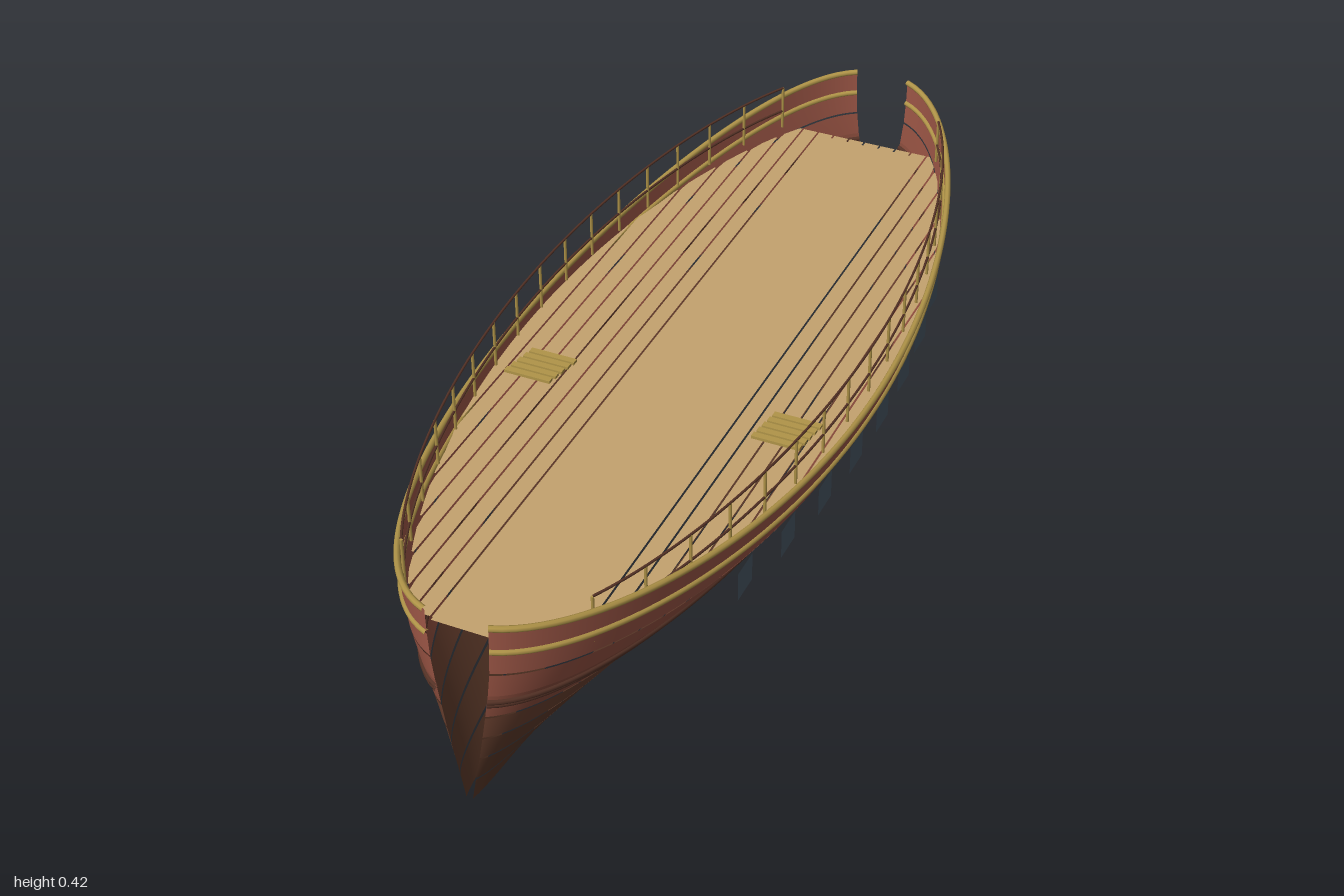
import * as THREE from 'three';
import { ParametricGeometry } from 'three/addons/geometries/ParametricGeometry.js';

const mat = (color, side = THREE.FrontSide) => new THREE.MeshStandardMaterial({ color, side });
const GOLD = mat(0xb09448), WALE = mat(0x553226);
const DECK = mat(0xc4a26e, THREE.DoubleSide), IRON = mat(0x4a5866, THREE.DoubleSide);
const STRAKES = [0x5a3828, 0x5a3828, 0x5e3a2a, 0x6a402f, 0x8a4c3c, 0x965242, 0x9c5646, 0x9c5646]
  .map(c => mat(c, THREE.DoubleSide));
const DECK_Y = 0.302;

// Half-breadths of the midship section, evenly spaced from keel to sheer
const BREADTH = [0.04, 0.097, 0.158, 0.213, 0.263, 0.313, 0.35, 0.367, 0.373];

function breadth(u) {
  const f = Math.min(u, 1) * 8, i = Math.min(7, Math.floor(f));
  return THREE.MathUtils.lerp(BREADTH[i], BREADTH[i + 1], f - i);
}
// Plan taper towards the ends, and the sheer line
const taper = z => Math.pow(Math.cos(z * Math.PI / 2 * 0.989), 0.45);
const sheer = z => 0.323 + 0.094 * z * z;
const hullPoint = (u, z, side, out = 0) =>
  new THREE.Vector3(side * (breadth(u) + out) * taper(z), u * sheer(z), z);

function add(parent, name, geometry, material) {
  const mesh = new THREE.Mesh(geometry, material);
  mesh.name = name;
  parent.add(mesh);
  return mesh;
}

// Tube through a function of z, with samples closer together at the ends
function tubeAlong(fn, zMax, radius) {
  const points = [];
  for (let i = 0; i <= 48; i++) points.push(fn(zMax * Math.sin((i / 48 - 0.5) * Math.PI)));
  return new THREE.TubeGeometry(new THREE.CatmullRomCurve3(points), 96, radius, 8);
}

function strake(u0, u1, side) {
  return new ParametricGeometry((s, t, target) => {
    const z = Math.sin((s - 0.5) * Math.PI);
    target.copy(hullPoint(u0 + (u1 - u0) * t, z, side));
  }, 72, 4);
}

// Flat plank whose outer edge is trimmed to the inside of the hull
function plank(inner, outer, side) {
  const inside = z => breadth(DECK_Y / sheer(z)) * taper(z) - 0.003;
  let reach = 0.9;
  while (inside(reach) < inner + 0.002) reach -= 0.005;
  return new ParametricGeometry((s, t, target) => {
    const z = (2 * s - 1) * reach;
    const edge = Math.min(outer, inside(z));
    target.set(side * (inner + (edge - inner) * t), DECK_Y, z);
  }, 48, 1);
}

function buildSide(side) {
  const g = new THREE.Group();
  g.name = side > 0 ? 'leftSide' : 'rightSide';

  // Hull strakes with open seams between them (the wale covers one seam)
  for (let i = 0; i < 8; i++) {
    const u0 = i === 0 || i === 5 ? i / 8 : i / 8 + 0.005;
    const u1 = i === 7 || i === 4 ? (i + 1) / 8 : (i + 1) / 8 - 0.005;
    add(g, 'hullStrake', strake(u0, u1, side), STRAKES[i]);
  }

  // Cap rail, moulding and wale
  add(g, 'capRail', tubeAlong(z => hullPoint(1, z, side), 1, 0.0062), GOLD);
  add(g, 'moulding', tubeAlong(z => hullPoint(0.875, z, side), 1, 0.0058), GOLD);
  for (const u of [0.575, 0.592])
    add(g, 'wale', tubeAlong(z => hullPoint(u, z, side, 0.002), 1, 0.0055), WALE);

  // Gun port lids
  for (let i = 0; i < 8; i++) {
    const z = -0.5 + i / 7;
    const lid = add(g, 'gunPortLid', new THREE.PlaneGeometry(0.066, 0.062), IRON);
    lid.rotation.y = side * Math.PI / 2;
    lid.position.set(side * 0.36 * taper(z), 0.225, z);
  }

  // Railing: posts and two level rails
  const railX = z => side * 0.353 * taper(z);
  for (let i = 0; i <= 16; i++) {
    const z = -0.86 + i * 0.1075;
    const post = add(g, 'railingPost', new THREE.CylinderGeometry(0.003, 0.003, 0.1, 6), GOLD);
    post.position.set(railX(z), 0.37, z);
  }
  for (const y of [0.362, 0.42])
    add(g, 'railingBar', tubeAlong(z => new THREE.Vector3(railX(z), y, z), 0.86, 0.0025), WALE);

  // Main deck planks
  for (let i = 0; i < 10; i++)
    add(g, 'deckPlank', plank(i * 0.037 + 0.002, i * 0.037 + 0.035, side), DECK);

  // Steps
  for (let i = 0; i < 5; i++) {
    const step = add(g, 'step', new THREE.BoxGeometry(0.098, 0.006, 0.014), GOLD);
    step.position.set(side * 0.26, DECK_Y + 0.01 + i * 0.006, 0.135 + i * 0.026);
  }
  return g;
}

export function createModel() {
  const model = new THREE.Group();
  model.name = 'shipHull';
  model.add(buildSide(1), buildSide(-1));

  // Backing sheet under the middle planks
  const sheet = add(model, 'deckBacking', new THREE.PlaneGeometry(0.224, 1.8), DECK);
  sheet.rotation.x = -Math.PI / 2;
  sheet.position.y = DECK_Y - 0.008;
  return model;
}
